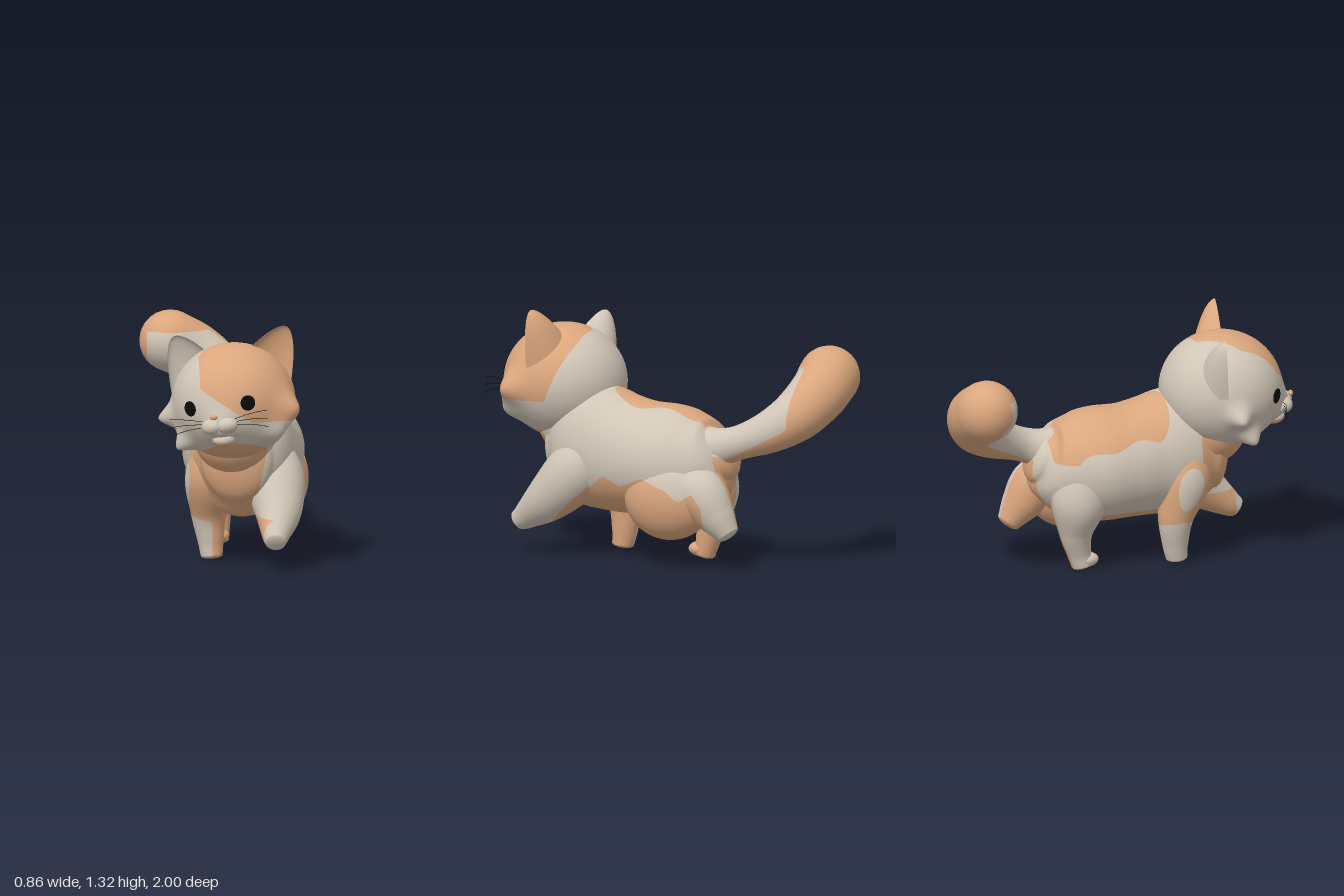
import * as THREE from 'three';
import { mergeVertices } from 'three/addons/utils/BufferGeometryUtils.js';

const mat = (name, color) => Object.assign(new THREE.MeshStandardMaterial({ color }), { name });
const V = (x, y, z) => new THREE.Vector3(x, y, z);
const clamp = THREE.MathUtils.clamp;

// Piecewise-linear height through [position, height] pairs
function along(t, pts) {
  if (t <= pts[0][0]) return pts[0][1];
  for (let i = 1; i < pts.length; i++) {
    const [a, ya] = pts[i - 1], [b, yb] = pts[i];
    if (t <= b) return ya + (yb - ya) * (t - a) / (b - a);
  }
  return pts[pts.length - 1][1];
}

// Smooth skin through elliptical sections [x, y, z, halfWidth, halfHeight], with rounded ends
function loft(sections, ref, round = 0.5, steps = 40, sides = 40) {
  const centre = new THREE.CatmullRomCurve3(sections.map(s => V(s[0], s[1], s[2])), false, 'catmullrom');
  const radii = new THREE.CatmullRomCurve3(sections.map(s => V(s[3], s[4] ?? s[3], 0)), false, 'catmullrom');
  const pos = [], index = [], cap = 7;
  let rows = 0;
  const ring = (t, shrink, push) => {
    const c = centre.getPoint(t), T = centre.getTangent(t), r = radii.getPoint(t);
    const X = ref.clone().cross(T).normalize(), U = T.clone().cross(X);
    c.addScaledVector(T, push * Math.min(r.x, r.y) * round);
    for (let j = 0; j < sides; j++) {
      const a = j / sides * Math.PI * 2;
      const p = c.clone().addScaledVector(X, r.x * shrink * Math.cos(a)).addScaledVector(U, r.y * shrink * Math.sin(a));
      pos.push(p.x, p.y, p.z);
    }
    rows++;
  };
  for (let k = cap; k > 0; k--) ring(0, Math.cos(k / cap * Math.PI / 2), -Math.sin(k / cap * Math.PI / 2));
  for (let i = 0; i <= steps; i++) ring(i / steps, 1, 0);
  for (let k = 1; k <= cap; k++) ring(1, Math.cos(k / cap * Math.PI / 2), Math.sin(k / cap * Math.PI / 2));
  for (let i = 0; i < rows - 1; i++) for (let j = 0; j < sides; j++) {
    const a = i * sides + j, b = i * sides + (j + 1) % sides;
    index.push(a, b, a + sides, b, b + sides, a + sides);
  }
  const g = new THREE.BufferGeometry();
  g.setAttribute('position', new THREE.Float32BufferAttribute(pos, 3));
  g.setIndex(index);
  return g;
}

function smooth(g) {
  g.deleteAttribute('uv');
  g.deleteAttribute('normal');
  g = mergeVertices(g, 1e-5);
  g.computeVertexNormals();
  return g;
}

// Cuts a skin along rule = 0 into two material groups: rule < 0 first, rule > 0 second
function patch(g, rule) {
  const src = g.toNonIndexed(), P = src.attributes.position, N = src.attributes.normal, out = [[], []];
  const vert = i => {
    const v = [P.getX(i), P.getY(i), P.getZ(i), N.getX(i), N.getY(i), N.getZ(i)];
    return { v, f: rule(v[0], v[1], v[2]) };
  };
  for (let i = 0; i < P.count; i += 3) {
    const tri = [vert(i), vert(i + 1), vert(i + 2)];
    [-1, 1].forEach((s, side) => {
      const poly = [];
      tri.forEach((a, k) => {
        const b = tri[(k + 1) % 3], inA = a.f * s > 0 || (a.f === 0 && s < 0), inB = b.f * s > 0 || (b.f === 0 && s < 0);
        if (inA) poly.push(a.v);
        if (inA !== inB) poly.push(a.v.map((n, m) => n + (b.v[m] - n) * a.f / (a.f - b.f)));
      });
      for (let k = 1; k < poly.length - 1; k++) out[side].push(poly[0], poly[k], poly[k + 1]);
    });
  }
  const all = out[0].concat(out[1]), r = new THREE.BufferGeometry();
  r.setAttribute('position', new THREE.Float32BufferAttribute(all.flatMap(v => v.slice(0, 3)), 3));
  r.setAttribute('normal', new THREE.Float32BufferAttribute(all.flatMap(v => v.slice(3)), 3));
  r.addGroup(0, out[0].length, 0);
  r.addGroup(out[0].length, out[1].length, 1);
  return r;
}

const ball = (c, r, n = 32) => new THREE.SphereGeometry(1, n, n * 0.75).scale(...r).translate(...c);

// Edge of the underside colour along the left flank
const flank = z => along(z, [[-0.6, 0.2], [-0.4, 0.34], [-0.35, 0.42], [-0.27, 0.37], [-0.2, 0.43], [-0.05, 0.48],
  [0.1, 0.42], [0.2, 0.47], [0.4, 0.32], [0.55, 0.18]]);

// Orange bib on the chest and throat
const bib = (x, y, z) => Math.min(z - 0.42, 0.1 + (y - 0.3) * 0.2 - x, x + 0.24);

export function createModel() {
  const cream = mat('cream fur', 0xd0c5b6), orange = mat('orange fur', 0xdaa67d), black = mat('black', 0x0a0a0a);
  const cat = new THREE.Group();
  cat.name = 'cat';
  const add = (name, g, m, rule) => {
    g = smooth(g);
    const mesh = new THREE.Mesh(rule ? patch(g, rule) : g, rule ? [cream, orange] : m);
    mesh.name = name;
    cat.add(mesh);
  };
  const up = V(0, 1, 0), front = V(0, 0, 1);

  // Torso with saddle patch, underside and chest
  add('torso', loft([
    [0.1, 0.585, -0.4, 0.13, 0.13], [0.1, 0.565, -0.34, 0.225, 0.215], [0.09, 0.54, -0.22, 0.29, 0.28],
    [0.08, 0.53, -0.08, 0.325, 0.305], [0.07, 0.535, 0.08, 0.31, 0.305], [0.065, 0.55, 0.22, 0.29, 0.32],
    [0.05, 0.575, 0.36, 0.275, 0.335], [0.03, 0.58, 0.47, 0.25, 0.315], [0.01, 0.58, 0.555, 0.195, 0.23]],
  up, 0.45, 64, 64), null, (x, y, z) => {
    const saddle = Math.min(1 - ((x + 0.015 - 0.015 * Math.sin(z * 20)) / 0.185) ** 4 - ((z + 0.05) / 0.32) ** 4, (y - 0.6) * 9) * 0.1;
    const edge = THREE.MathUtils.lerp(0.3, flank(z), clamp(x / 0.2, 0, 1));
    const rump = Math.min(-0.35 - z, 0.6 - y, 0.24 - x, x - 0.03);
    return Math.max(saddle, edge - y, bib(x, y, z), rump);
  });
  add('throat', ball([0, 0.71, 0.53], [0.22, 0.22, 0.21], 48), null, bib);

  // Tail sweeping back, up and to the right
  add('tail', loft([[0.11, 0.62, -0.22, 0.14], [0.125, 0.63, -0.36, 0.108], [0.125, 0.67, -0.5, 0.092], [0.08, 0.735, -0.66, 0.115],
    [0.0, 0.82, -0.78, 0.14], [-0.13, 0.92, -0.84, 0.156], [-0.27, 0.99, -0.835, 0.165]], up, 1), null,
  (x, y, z) => Math.max(-0.79 - z, -0.4 - x, y - 1.055, Math.min(0.58 - (z + 0.45) * 0.52 - y, -0.36 - z)));

  // Front legs: left reaching forward, right standing
  add('frontLeftLeg', loft([[0.17, 0.6, 0.3, 0.12], [0.215, 0.46, 0.42, 0.16], [0.23, 0.31, 0.57, 0.13],
    [0.21, 0.2, 0.715, 0.078], [0.205, 0.165, 0.77, 0.056]], front, 0.35), null,
  (x, y, z) => Math.max(0.18 + (0.55 - z) * 0.9 - y, Math.min(0.22 - x, 0.28 - y, 0.75 - z)));
  add('frontRightLeg', loft([[-0.07, 0.62, 0.38, 0.12], [-0.115, 0.44, 0.35, 0.14], [-0.125, 0.25, 0.3, 0.097],
    [-0.115, 0.1, 0.3, 0.07], [-0.11, 0.02, 0.31, 0.058]], front, 0.3), null,
  (x, y) => x + 0.11 + clamp((y - 0.21) * 5, 0, 0.125));

  // Hind legs: left kicked back, right standing
  add('hindLeftThigh', ball([0.265, 0.365, -0.15], [0.165, 0.225, 0.25], 56), null,
    (x, y, z) => Math.max(Math.min(flank(z) - y, z + 0.4), 0.15 - x));
  add('hindLeftLeg', loft([[0.22, 0.45, -0.25, 0.14], [0.26, 0.39, -0.35, 0.14], [0.27, 0.285, -0.435, 0.105],
    [0.27, 0.2, -0.5, 0.065]], front, 0.4), null,
  (x, y, z) => Math.max(0.26 - x, Math.min(z + 0.4, flank(z) - y)));
  add('hindRightLeg', loft([[-0.04, 0.52, -0.2, 0.15], [-0.07, 0.36, -0.235, 0.15], [-0.06, 0.2, -0.245, 0.092],
    [-0.05, 0.09, -0.225, 0.066], [-0.05, 0.018, -0.205, 0.058]], front, 0.29), null, x => x + 0.07);
  add('hindRightFoot', ball([-0.05, 0.045, -0.19], [0.06, 0.042, 0.075]), null, x => x + 0.07);

  // Head frame, turned and tilted
  const pose = new THREE.Matrix4().makeRotationFromEuler(new THREE.Euler(0, -0.31, 0.14)).setPosition(-0.01, 0.9, 0.6);
  const addHead = (name, g, m, rule) => add(name, g.applyMatrix4(pose), m, rule);

  // Skull drawn out to cheek tufts and a muzzle: [direction, amount, spread]
  const skull = new THREE.SphereGeometry(1, 112, 84), P = skull.attributes.position;
  const pulls = [[V(0, -0.1, 0.33), 0.05, 0.035], [V(-0.37, -0.04, 0.1), 0.08, 0.014], [V(-0.29, -0.2, 0.17), 0.075, 0.014],
    [V(0.37, -0.07, 0.1), 0.07, 0.03], [V(0.29, -0.2, 0.17), 0.045, 0.025]];
  for (let i = 0; i < P.count; i++) {
    const p = V().fromBufferAttribute(P, i).multiply(V(0.33, 0.31, 0.33)), d = p.clone().normalize();
    for (const [dir, amount, spread] of pulls) {
      const n = dir.clone().normalize();
      p.addScaledVector(n, amount * Math.exp((d.dot(n) - 1) / spread));
    }
    P.setXYZ(i, p.x, p.y, p.z);
  }
  addHead('head', skull, null, (x, y, z) => {
    const mask = Math.min(x + 0.2 - 0.8 * Math.max(0, 0.65 - z), z - 0.45 - Math.max(0, 1.13 - y) * 0.4,
      y - 0.83 - 0.62 * Math.max(0, 0.08 - x));
    const throat = Math.min(1 - (x / 0.2) ** 2 - ((y - 0.6) / 0.11) ** 2, (z - 0.5) * 8) * 0.1;
    return Math.max(mask, throat);
  });

  // Muzzle, chin and nose
  for (const s of [-1, 1]) addHead('muzzle', ball([s * 0.04, -0.085, 0.328], [0.06, 0.045, 0.055]), cream);
  addHead('chin', ball([0, -0.165, 0.282], [0.062, 0.042, 0.06]), null, (x, y) => 0.725 - y);
  addHead('nose', ball([-0.015, -0.03, 0.372], [0.022, 0.014, 0.014], 16), orange);

  // Eyes and whiskers
  for (const s of [-1, 1]) {
    addHead('eye', new THREE.SphereGeometry(1, 24, 16).scale(0.04, 0.041, 0.009).rotateY(s * 0.5).translate(s * 0.16, 0.018, 0.29), black);
    for (let k = -1; k <= 1; k++) {
      const curve = new THREE.QuadraticBezierCurve3(V(s * 0.09, -0.07 + k * 0.016, 0.33),
        V(s * 0.19, -0.055 + k * 0.03, 0.35), V(s * 0.27, -0.07 + k * 0.045, 0.33));
      addHead('whisker', new THREE.TubeGeometry(curve, 10, 0.0015, 5), black);
    }
  }

  // Ears: rounded cones with a hollow front, spanned by width, height and depth vectors
  const ear = (name, m, base, w, h, d) => {
    const g = new THREE.SphereGeometry(1, 40, 28), A = g.attributes.position;
    for (let i = 0; i < A.count; i++) {
      const t = (A.getY(i) + 1) / 2, a = Math.atan2(A.getZ(i), A.getX(i));
      const r = t > 0.9999 || t < 0.0001 ? 0 : Math.pow(1 - t, 0.55);
      const z = Math.sin(a) * r;
      A.setXYZ(i, Math.cos(a) * r, t, z > 0 ? -0.5 * z : z);
    }
    add(name, g.applyMatrix4(new THREE.Matrix4().makeBasis(w, h, d).setPosition(base)), m);
  };
  ear('leftEar', orange, V(0.155, 1.06, 0.655), V(0.135, -0.07, 0.03), V(0.115, 0.25, 0.02), V(-0.01, 0.02, 0.16));
  ear('rightEar', cream, V(-0.225, 1.03, 0.55), V(0.11, 0.1, 0.03), V(-0.105, 0.2, -0.04), V(-0.05, 0.02, 0.14));

  return cat;
}
